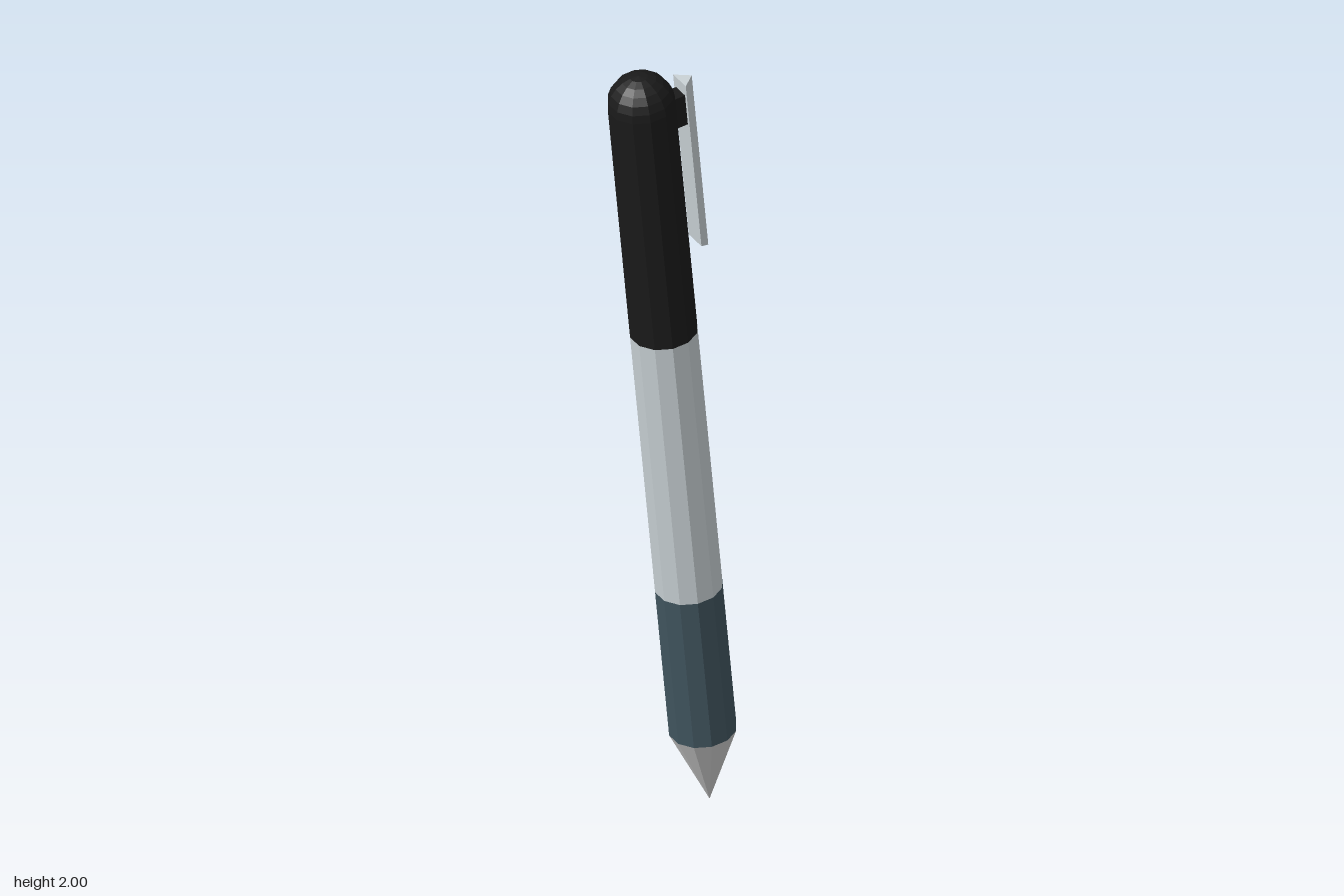
import * as THREE from 'three';

const SIDES = 12;
const R = 0.078;
const DEG = Math.PI / 180;

function part(name, geometry, color) {
  const material = new THREE.MeshStandardMaterial({ color, flatShading: true });
  const mesh = new THREE.Mesh(geometry, material);
  mesh.name = name;
  return mesh;
}

// Faceted body section between two heights along the pen
function section(name, y0, y1, r0, r1, color) {
  const g = new THREE.CylinderGeometry(r1, r0, y1 - y0, SIDES, 1, true);
  g.translate(0, (y0 + y1) / 2, 0);
  g.rotateY(15 * DEG); // a flat face points to the clip
  return part(name, g, color);
}

// Triangular bar whose outer edge runs lower at the free end
function clipGeometry() {
  const inner = 0.101, outer = 0.133, half = 0.028, y0 = 1.506, y1 = 1.95;
  const shape = new THREE.Shape();
  shape.moveTo(inner, -half);
  shape.lineTo(outer, 0);
  shape.lineTo(inner, half);
  shape.closePath();
  const g = new THREE.ExtrudeGeometry(shape, { depth: y1 - y0, bevelEnabled: false });
  g.rotateX(-Math.PI / 2);
  g.translate(0, y0, 0);
  const p = g.attributes.position;
  for (let i = 0; i < p.count; i++) {
    if (p.getX(i) > outer - 0.001 && p.getY(i) < y0 + 0.001) p.setY(i, y0 - 0.026);
  }
  g.computeVertexNormals();
  return g;
}

export function createModel() {
  const model = new THREE.Group();
  model.name = 'pen';

  // Everything is built upright, then leaned
  const pen = new THREE.Group();
  pen.name = 'leaningPen';
  model.add(pen);

  const capTop = 1.929;
  pen.add(
    section('tip', 0, 0.197, 0, R, 0xcccccc),
    section('grip', 0.197, 0.594, R, R, 0x41555f),
    section('barrel', 0.594, 1.302, R, R, 0xc8d0d4),
    section('cap', 1.302, capTop, R, R, 0x1a1a1a)
  );

  // Rounded end of the cap
  const dome = new THREE.SphereGeometry(R, SIDES, 6, 0, Math.PI * 2, 0, Math.PI / 2);
  dome.rotateY(15 * DEG);
  dome.translate(0, capTop, 0);
  pen.add(part('capDome', dome, 0x1a1a1a));

  // Clip and the block that holds it
  const block = new THREE.BoxGeometry(0.045, 0.08, 0.04);
  block.translate(0.0835, 1.88, 0);
  pen.add(part('clipMount', block, 0x1a1a1a));
  pen.add(part('clip', clipGeometry(), 0xc8d0d4));

  // Lean the pen with its tip on the floor
  const axis = new THREE.Vector3(-0.05, 1, -0.065).normalize();
  pen.quaternion.setFromUnitVectors(new THREE.Vector3(0, 1, 0), axis);
  pen.rotateY(-7 * DEG);
  pen.position.set(0.052, 0, 0.069);

  return model;
}
